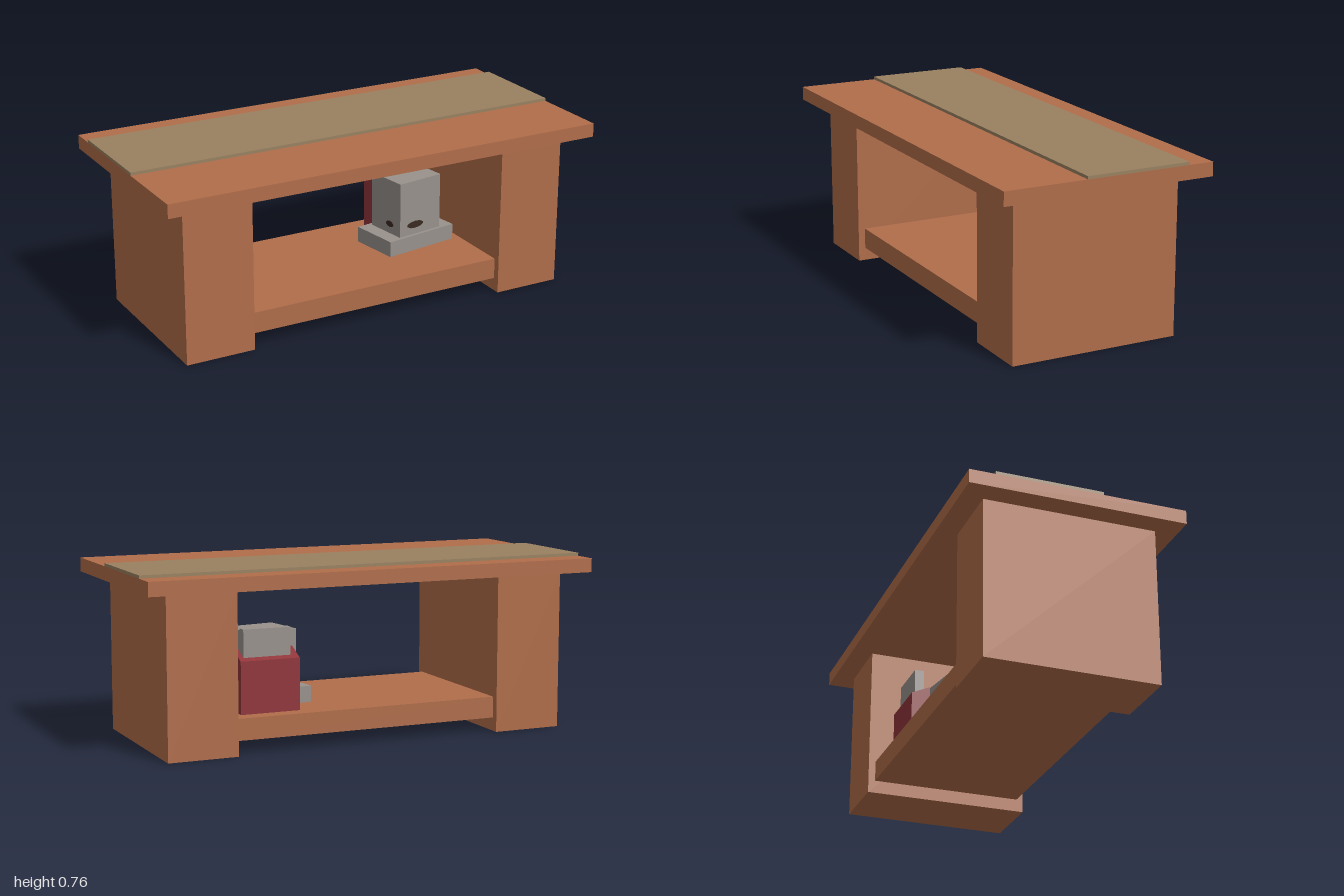
import * as THREE from 'three';

const mat = (name, color) => {
  const m = new THREE.MeshStandardMaterial({ color });
  m.name = name;
  return m;
};

export function createModel() {
  const wood = mat('terracotta wood', 0xb06d4a);
  const cloth = mat('tan cloth', 0x998160);
  const stone = mat('grey stone', 0x98918c);
  const red = mat('dark red', 0x8f3439);
  const dark = mat('dark brown', 0x3a2a22);

  const model = new THREE.Group();
  model.name = 'table';

  const add = (parent, name, geometry, material) => {
    const mesh = new THREE.Mesh(geometry, material);
    mesh.name = name;
    parent.add(mesh);
    return mesh;
  };
  // Box given by its limits on each axis
  const box = (parent, name, material, [x0, x1], [y0, y1], [z0, z1]) => {
    const g = new THREE.BoxGeometry(x1 - x0, y1 - y0, z1 - z0);
    g.translate((x0 + x1) / 2, (y0 + y1) / 2, (z0 + z1) / 2);
    return add(parent, name, g, material);
  };

  // Table: top, cloth runner, two slab legs and the shelf between them
  box(model, 'tableTop', wood, [-1, 1], [0.686, 0.746], [-0.465, 0.465]);
  box(model, 'runner', cloth, [-1, 1], [0.746, 0.759], [-0.355, 0.104]);
  box(model, 'leftLeg', wood, [0.595, 0.897], [0, 0.686], [-0.371, 0.371]);
  box(model, 'rightLeg', wood, [-0.9, -0.595], [0, 0.686], [-0.371, 0.371]);
  box(model, 'shelf', wood, [-0.595, 0.595], [0.058, 0.15], [-0.34, 0.34]);

  // Stone block on a plinth, turned slightly on the shelf
  const block = new THREE.Group();
  block.name = 'stoneOrnament';
  block.position.set(0.363, 0.15, -0.036);
  block.rotation.y = 0.15;
  model.add(block);
  box(block, 'plinth', stone, [-0.179, 0.179], [0, 0.07], [-0.115, 0.115]);
  box(block, 'stoneBlock', stone, [-0.113, 0.113], [0.07, 0.32], [-0.1, 0.1]);

  // Thin dark marks on the block
  const mark = (name, rx, ry) => {
    const g = new THREE.CylinderGeometry(1, 1, 0.004, 10);
    g.rotateX(Math.PI / 2);
    g.scale(rx, ry, 1);
    return add(block, name, g, dark);
  };
  mark('frontMark', 0.045, 0.016).position.set(-0.028, 0.115, 0.101);
  const side = mark('sideMark', 0.025, 0.014);
  side.position.set(-0.114, 0.115, 0.03);
  side.rotation.y = -Math.PI / 2;

  // Red holder with a sloping top, profile drawn in z and y
  const profile = new THREE.Shape([
    [0.273, 0.15], [0.273, 0.372], [0.19, 0.41], [0.19, 0.15],
  ].map(([z, y]) => new THREE.Vector2(z, y)));
  const holder = new THREE.ExtrudeGeometry(profile, { depth: 0.262, bevelEnabled: false });
  holder.rotateY(Math.PI / 2);
  holder.translate(0.284, 0, 0);
  add(model, 'redHolder', holder, red);

  // Grey tablet standing in the holder
  box(model, 'tablet', stone, [0.316, 0.525], [0.25, 0.5], [-0.25, -0.208]);

  return model;
}
